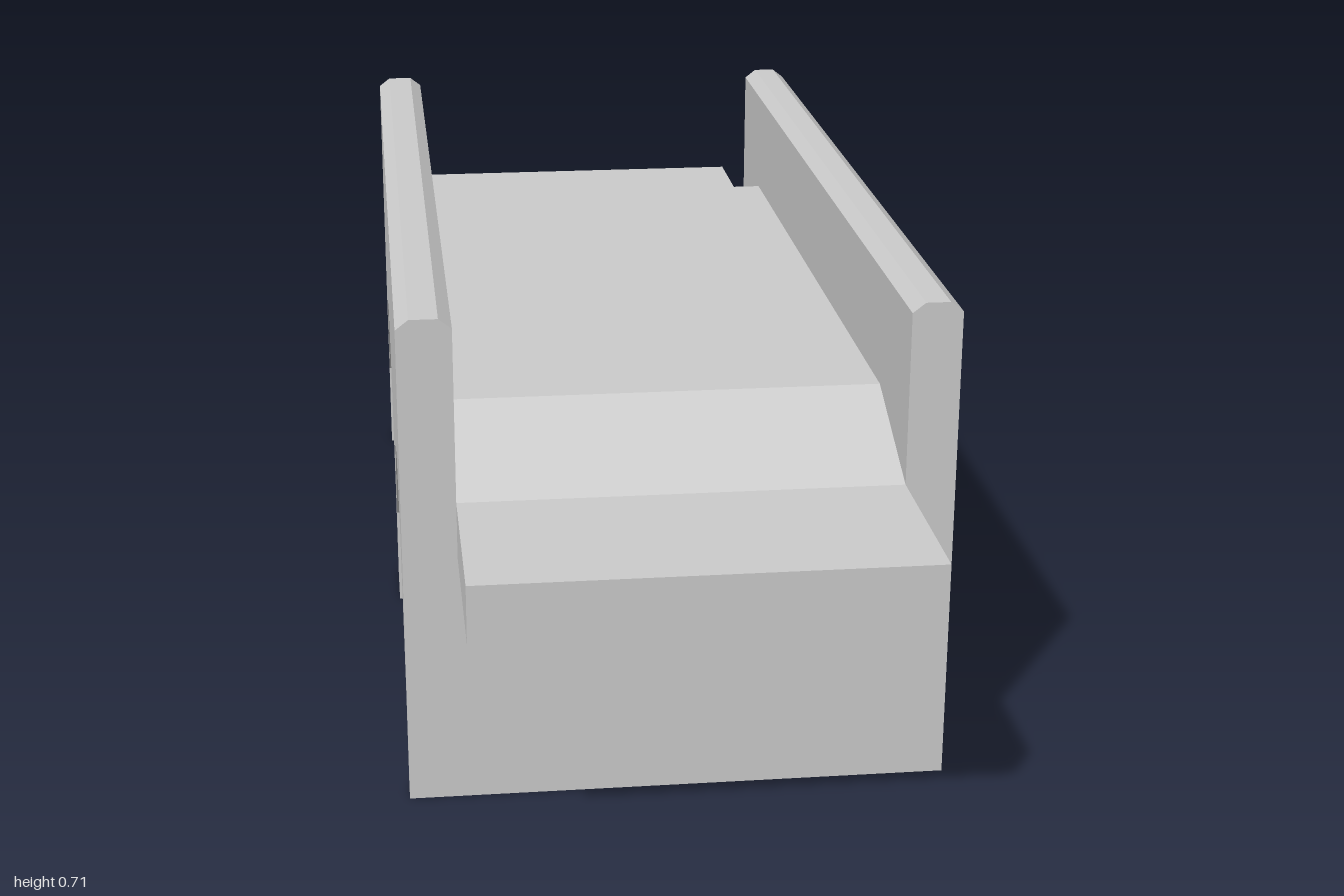
import * as THREE from 'three';

const material = new THREE.MeshStandardMaterial({ color: 0xcccccc, flatShading: true });

const FRONT = 0.73, BACK = -0.72;      // ends of the stone body
const ROAD_L = 0.31, ROAD_R = -0.305;  // inner faces of the parapets
const SPRING = 0.445;                  // height of the road ends

function addMesh(group, name, geometry) {
  const mesh = new THREE.Mesh(geometry, material);
  mesh.name = name;
  group.add(mesh);
}

function extrude(points, depth) {
  const shape = new THREE.Shape(points.map(([a, b]) => new THREE.Vector2(a, b)));
  return new THREE.ExtrudeGeometry(shape, { depth, bevelEnabled: false });
}

// Side outline given as [z, y], extruded across x from x0 to x1
function acrossX(points, x0, x1) {
  return extrude(points, x1 - x0).rotateY(-Math.PI / 2).translate(x1, 0, 0);
}

// Front outline given as [x, y], extruded along z
function alongZ(points) {
  return extrude(points, FRONT - BACK).translate(0, 0, BACK);
}

export function createModel() {
  const group = new THREE.Group();
  group.name = 'bridge';

  // Body with two faceted arches and three piers
  addMesh(group, 'archedBody', acrossX([
    [FRONT, SPRING], [FRONT, 0], [0.69, 0],
    [0.69, 0.15], [0.55, 0.335], [0.37, 0.375], [0.21, 0.335], [0.06, 0.155],
    [0.06, 0], [-0.05, 0],
    [-0.05, 0.155], [-0.2, 0.335], [-0.355, 0.375], [-0.535, 0.335], [-0.675, 0.15],
    [-0.675, 0], [BACK, 0], [BACK, SPRING],
  ], -0.38, 0.38));

  // Raised roadway with a ramp at each end
  addMesh(group, 'roadway', acrossX([
    [FRONT, SPRING], [0.545, 0.526], [-0.545, 0.526], [BACK, SPRING],
  ], ROAD_R, ROAD_L));

  // Parapets with chamfered tops
  for (const [name, x0, x1] of [['leftParapet', ROAD_L, 0.38], ['rightParapet', -0.38, ROAD_R]]) {
    addMesh(group, name, alongZ([
      [x0, SPRING], [x1, SPRING], [x1, 0.692], [x1 - 0.018, 0.706],
      [x0 + 0.018, 0.706], [x0, 0.692],
    ]));
  }

  // Flat landing slabs at both ends
  for (const [name, z0, z1] of [['frontLanding', FRONT, 1], ['backLanding', -1, BACK]]) {
    const slab = new THREE.BoxGeometry(ROAD_L - ROAD_R, SPRING - 0.364, z1 - z0);
    slab.translate((ROAD_L + ROAD_R) / 2, (SPRING + 0.364) / 2, (z0 + z1) / 2);
    addMesh(group, name, slab);
  }

  return group;
}
